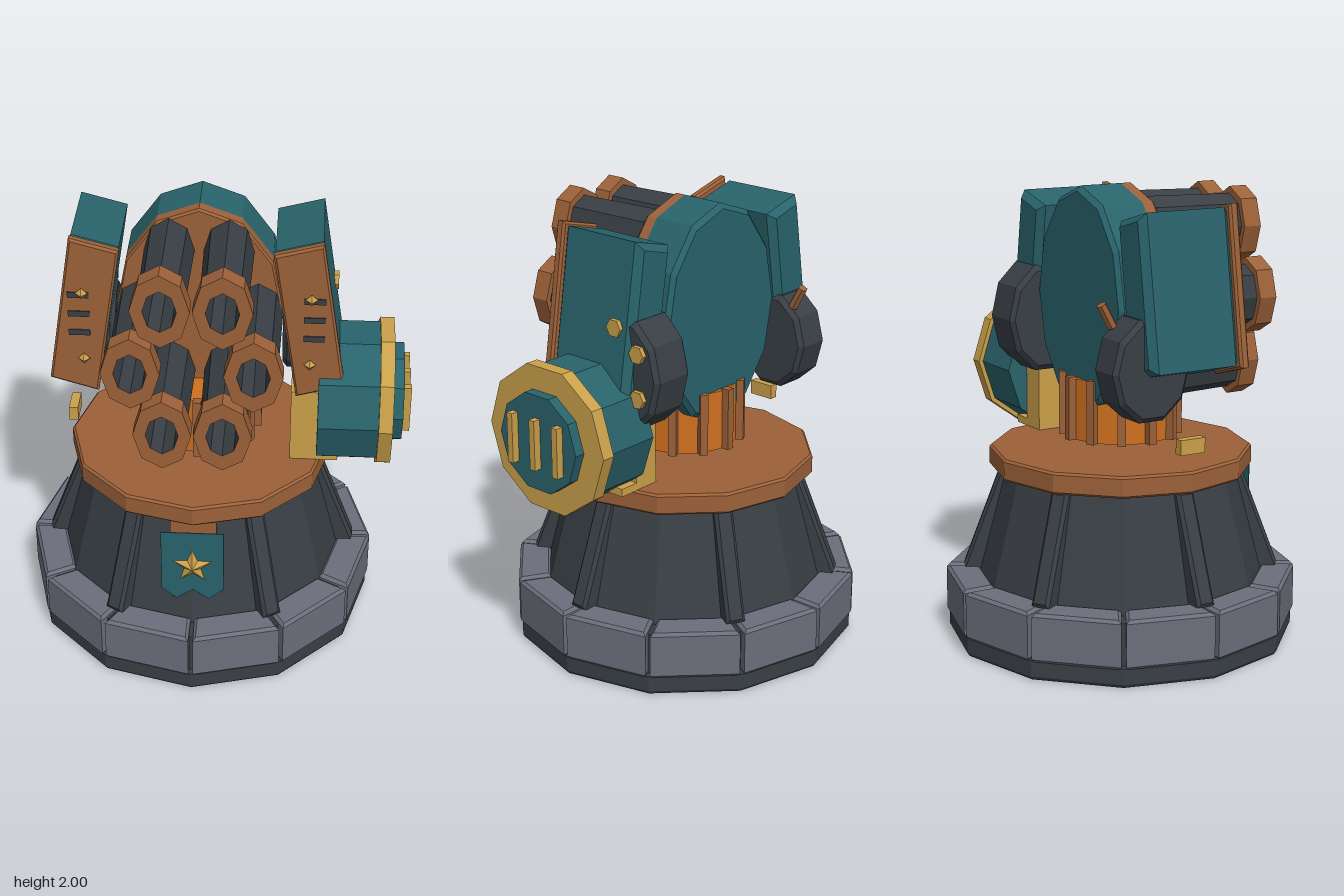
import * as THREE from 'three';

const mat = (name, color) => {
  const m = new THREE.MeshStandardMaterial({ color });
  m.name = name;
  return m;
};

export function createModel() {
  const dark = mat('dark iron', 0x393f45), grey = mat('grey stone', 0x6b6f7b);
  const copper = mat('copper', 0x9c6139), teal = mat('teal paint', 0x29636b);
  const gold = mat('gold', 0xcaa04a), orange = mat('orange core', 0xcf701f);

  const model = new THREE.Group();
  const turret = new THREE.Group();
  turret.name = 'turret';
  turret.position.x = -0.07;
  model.add(turret);

  // Faceted mesh: every face gets its own normal
  const add = (parent, name, geo, material, x = 0, y = 0, z = 0) => {
    const g = geo.index ? geo.toNonIndexed() : geo;
    g.computeVertexNormals();
    const m = new THREE.Mesh(g, material);
    m.name = name;
    m.position.set(x, y, z);
    parent.add(m);
    return m;
  };
  const lathe = (pts, n) => new THREE.LatheGeometry(pts.map(p => new THREE.Vector2(...p)), n);
  // Chamfered slab from an outline, running from z = 0 to z = depth
  const slab = (pts, depth, b) => new THREE.ExtrudeGeometry(
    new THREE.Shape(pts.map(p => new THREE.Vector2(...p))),
    { depth: depth - 2 * b, bevelEnabled: true, bevelThickness: b, bevelSize: b, bevelOffset: -b, bevelSegments: 1 }
  ).translate(0, 0, b);
  const block = (w, h, d, b) =>
    slab([[-w / 2, -h / 2], [w / 2, -h / 2], [w / 2, h / 2], [-w / 2, h / 2]], d, b).translate(0, 0, -d / 2);
  const box = (w, h, d) => new THREE.BoxGeometry(w, h, d);
  const axle = (r, len, n) => new THREE.CylinderGeometry(r, r, len, n).rotateZ(-Math.PI / 2);

  // Foot and tapered pedestal
  add(turret, 'foot', lathe([[0, 0], [0.76, 0], [0.77, 0.015], [0.77, 0.085], [0.735, 0.085], [0.735, 0.27], [0, 0.27]], 12), dark);
  add(turret, 'pedestal', new THREE.CylinderGeometry(0.51, 0.64, 0.5, 12), dark, 0, 0.52, 0);

  // Ring of stone blocks
  for (let i = 0; i < 12; i++) {
    const g = slab([[-0.155, 0.61], [0.155, 0.61], [0.192, 0.755], [-0.192, 0.755]], 0.215, 0.014).rotateX(Math.PI / 2);
    add(turret, 'stoneBlock', g, grey, 0, 0.295, 0).rotation.y = (i + 0.5) * Math.PI / 6;
  }

  // Slanted ribs
  for (let i = 0; i < 6; i++) {
    const g = block(0.085, 0.49, 0.11, 0.014).rotateX(-0.36).translate(0, 0.507, 0.566);
    add(turret, 'rib', g, dark).rotation.y = (i + 0.5) * Math.PI / 3;
  }

  // Collar
  add(turret, 'collar', lathe([[0, 0.755], [0.57, 0.755], [0.58, 0.765], [0.58, 0.84], [0.57, 0.85], [0, 0.85]], 12), copper);

  // Banner with star
  add(turret, 'bannerHanger', box(0.2, 0.13, 0.04), copper, 0, 0.7, 0.515);
  add(turret, 'banner', slab([[-0.135, 0.74], [0.135, 0.74], [0.135, 0.435], [0.07, 0.38], [0, 0.43], [-0.07, 0.38], [-0.135, 0.435]], 0.004, 0.0005), teal, 0, 0, 0.602);
  const star = new THREE.ConeGeometry(1, 0.03, 10, 1).toNonIndexed();
  const sp = star.attributes.position;
  for (let i = 0; i < sp.count; i++) {
    const x = sp.getX(i), z = sp.getZ(i);
    const k = Math.round(Math.atan2(x, z) / (Math.PI / 5));
    const r = k % 2 === 0 ? 0.038 : 0.088;
    sp.setXYZ(i, x * r, sp.getY(i), z * r);
  }
  add(turret, 'star', star.rotateX(Math.PI / 2), gold, 0, 0.56, 0.621);

  // Glowing neck with a cage of bars
  add(turret, 'neck', new THREE.CylinderGeometry(0.24, 0.24, 0.27, 12), orange, 0, 1.035, 0);
  for (let i = 0; i < 12; i++) {
    const a = i * Math.PI / 6;
    add(turret, 'neckBar', box(0.036, 0.28, 0.04), copper, Math.sin(a) * 0.25, 1.04, Math.cos(a) * 0.25).rotation.y = a;
  }

  // Launcher drum, taller than wide
  const tall = 1.37, cy = 1.51;
  const along = (pts, n) => lathe(pts, n).rotateX(Math.PI / 2).scale(1, tall, 1);
  add(turret, 'drum', along([[0, -0.215], [0.34, -0.215], [0.357, -0.195], [0.357, 0]], 12), teal, 0, cy, 0);
  add(turret, 'drumFace', along([[0.357, 0], [0.357, 0.05], [0.35, 0.06], [0, 0.06]], 12), copper, 0, cy, 0);

  // Six barrels
  for (let i = 0; i < 6; i++) {
    const a = i * Math.PI / 3;
    const barrel = new THREE.Group();
    barrel.name = 'barrel';
    barrel.position.set(Math.cos(a) * 0.25, cy + Math.sin(a) * 0.25 * tall, 0.055);
    turret.add(barrel);
    add(barrel, 'tube', along([[0.106, 0], [0.098, 0.43]], 8), dark);
    add(barrel, 'muzzleRing', along([[0.09, 0.425], [0.121, 0.425], [0.121, 0.51], [0.068, 0.51]], 8), copper);
    add(barrel, 'bore', along([[0.068, 0.51], [0.066, 0.2], [0, 0.2]], 8), dark);
  }

  // Leaning side pods with front plates, slots and studs
  const corners = [[0.52, 1.95], [0.315, 1.895], [0.42, 1.215], [0.625, 1.275]];
  for (const s of [1, -1]) {
    const outline = k => corners.map(([x, y]) => [s * (0.47 + (x - 0.47) * k), 1.584 + (y - 1.584) * k]);
    add(turret, 'sidePod', slab(outline(0.96), 0.435, 0.03), teal, 0, 0, -0.22);
    add(turret, 'podPlate', slab(outline(1), 0.045, 0.01), copper, 0, 0, 0.208);
    for (const y of [1.69, 1.6, 1.51]) add(turret, 'slot', box(0.09, 0.026, 0.008), dark, s * 0.49, y, 0.254);
    for (const y of [1.7, 1.385]) add(turret, 'stud', new THREE.OctahedronGeometry(0.026), gold, s * 0.475, y, 0.26);
  }
  add(turret, 'podBolt', axle(0.04, 0.05, 6), gold, 0.565, 1.575, -0.13);

  // Rounded rear housings
  const housing = (x, y, z, w, ry, rz) => {
    const b = 0.02, h = w / 2;
    const g = lathe([[0, -h], [0.9, -h], [1, -h + b], [1, h - b], [0.9, h], [0, h]], 10);
    add(model, 'rearHousing', g.rotateZ(-Math.PI / 2).scale(1, ry, rz), dark, x, y, z);
  };
  housing(0.39, 1.375, -0.165, 0.21, 0.25, 0.185);
  housing(-0.533, 1.29, -0.175, 0.176, 0.225, 0.185);
  for (const y of [1.485, 1.29]) add(model, 'housingBolt', axle(0.04, 0.04, 6), gold, 0.495, y, -0.25);
  add(model, 'lever', new THREE.CylinderGeometry(0.022, 0.022, 0.11, 6), copper, -0.475, 1.51, -0.31).rotation.x = -0.5;

  // Bracket and floating clip
  add(model, 'bracket', box(0.12, 0.35, 0.38), gold, 0.39, 1.025, 0);
  add(model, 'bracketFoot', box(0.2, 0.035, 0.38), gold, 0.44, 0.865, 0);
  add(model, 'clip', box(0.04, 0.065, 0.12), gold, -0.633, 0.96, 0);

  // Side canister
  const canister = new THREE.Group();
  canister.name = 'sideCanister';
  canister.position.set(0, 1.115, 0.027);
  model.add(canister);
  add(canister, 'canisterBody', axle(0.31, 0.26, 10), teal, 0.576, 0, 0);
  add(canister, 'canisterRim', axle(0.33, 0.06, 10), gold, 0.735, 0, 0);
  add(canister, 'canisterCap', axle(0.22, 0.05, 10), teal, 0.787, 0, 0);
  for (const z of [-0.13, 0, 0.13]) add(canister, 'ventSlat', box(0.035, 0.22, 0.03), gold, 0.828, 0, z);

  return model;
}
